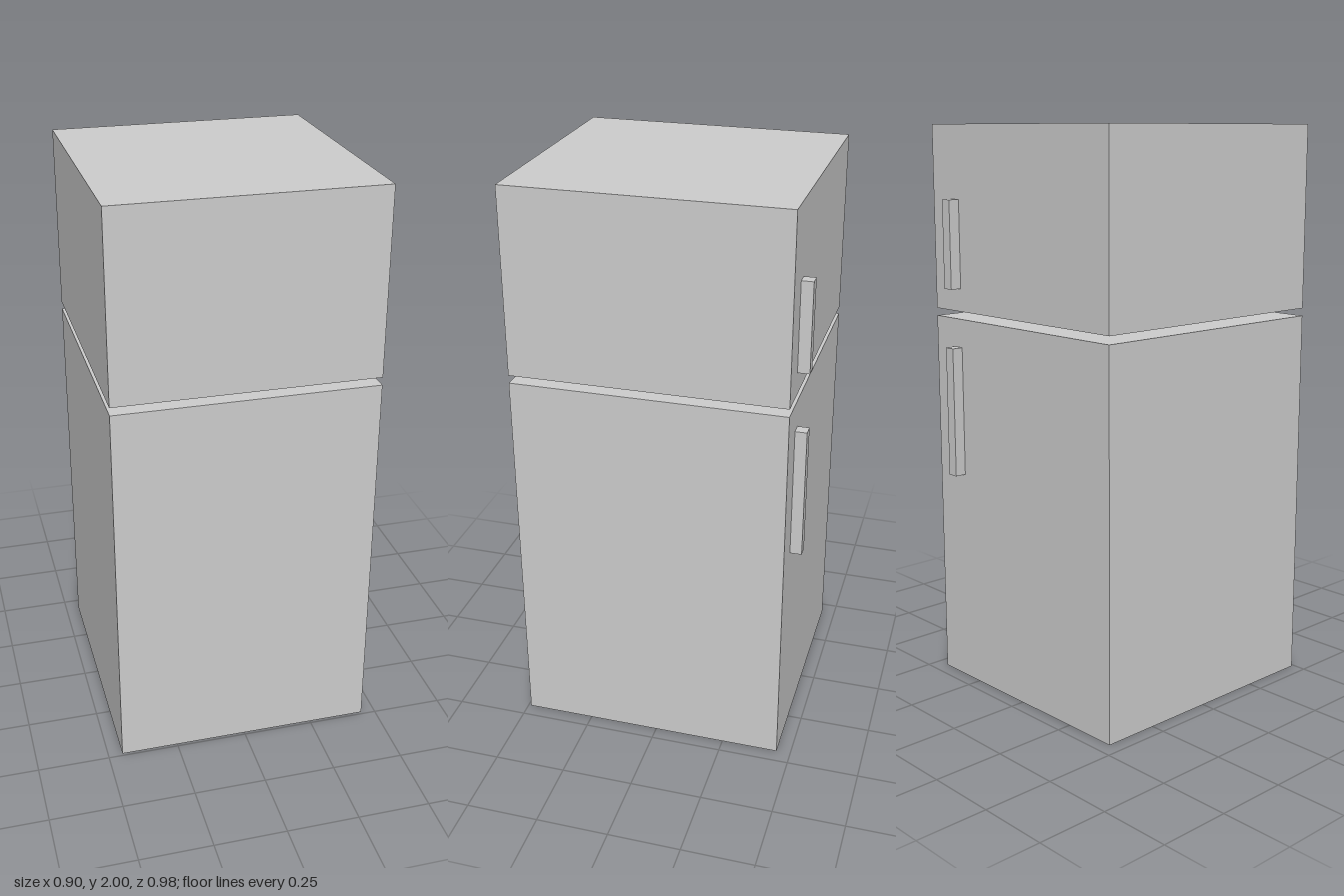
import * as THREE from 'three';

export function createModel() {
  const model = new THREE.Group();
  const lightGrey = new THREE.MeshStandardMaterial({ color: 0xcccccc });
  lightGrey.name = 'lightGrey';

  // Box given by its lower and upper limits on each axis
  function addBox(name, [x0, x1], [y0, y1], [z0, z1]) {
    const mesh = new THREE.Mesh(new THREE.BoxGeometry(x1 - x0, y1 - y0, z1 - z0), lightGrey);
    mesh.position.set((x0 + x1) / 2, (y0 + y1) / 2, (z0 + z1) / 2);
    mesh.name = name;
    model.add(mesh);
  }

  // Two compartments with a narrow gap between them
  const width = [-0.45, 0.45];
  const depth = [-0.45, 0.49];
  addBox('fridgeCompartment', width, [0, 1.333], depth);
  addBox('freezerCompartment', width, [1.36, 2], depth);

  // Upright bar handles on the door side
  const handleWidth = [0.307, 0.347];
  const handleDepth = [-0.49, -0.45];
  addBox('fridgeHandle', handleWidth, [0.773, 1.233], handleDepth);
  addBox('freezerHandle', handleWidth, [1.44, 1.747], handleDepth);

  return model;
}
